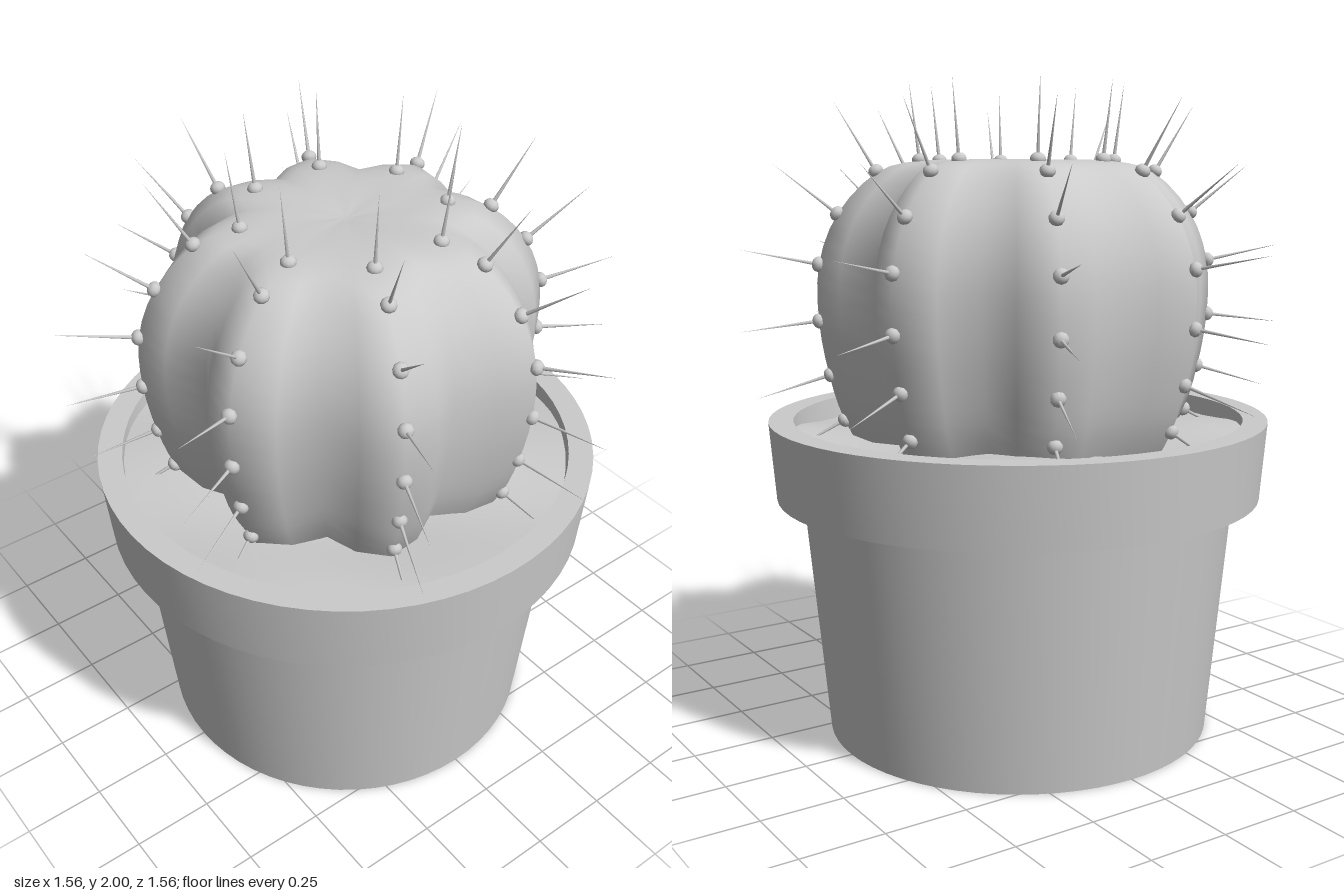
import * as THREE from 'three';
import { mergeVertices, toCreasedNormals } from 'three/addons/utils/BufferGeometryUtils.js';

const RIBS = 8;
const material = new THREE.MeshStandardMaterial({ color: 0xcccccc });
const toPoints = (list) => list.map(([r, y]) => new THREE.Vector2(r, y));

function addMesh(parent, geometry, name) {
  const mesh = new THREE.Mesh(geometry, material);
  mesh.name = name;
  parent.add(mesh);
  return mesh;
}

// Welds a lathe's seam and recomputes smooth normals
function smooth(geometry) {
  geometry.deleteAttribute('uv');
  geometry.deleteAttribute('normal');
  const welded = mergeVertices(geometry, 1e-4);
  welded.computeVertexNormals();
  return welded;
}

// Tapered pot with a thick collar and hollow inside
function potGeometry() {
  const profile = toPoints([
    [0, 0], [0.6, 0], [0.67, 0.745], [0.75, 0.745], [0.77, 0.985],
    [0.695, 0.985], [0.685, 0.86], [0, 0.86],
  ]);
  return toCreasedNormals(new THREE.LatheGeometry(profile, 64), 0.5);
}

// Gently uneven soil surface
function soilGeometry() {
  const profile = [];
  for (let i = 0; i <= 10; i++) profile.push(new THREE.Vector2(0.693 * (1 - i / 10), 0.935));
  const geometry = new THREE.LatheGeometry(profile, 48);
  const p = geometry.attributes.position;
  for (let i = 0; i < p.count; i++) {
    const x = p.getX(i), z = p.getZ(i);
    p.setY(i, 0.94 + 0.012 * Math.sin(9 * x + 2 * z) + 0.012 * Math.cos(8 * z - 5 * x));
  }
  return smooth(geometry);
}

// Ribbed body: the profile follows the ridges, valleys are pulled inwards
function bodyGeometry() {
  const curve = new THREE.SplineCurve(toPoints([
    [0.46, 0.84], [0.54, 0.985], [0.583, 1.125], [0.61, 1.29], [0.606, 1.46],
    [0.547, 1.61], [0.43, 1.73], [0.3, 1.765], [0.13, 1.765], [0, 1.755],
  ]));
  const profile = curve.getPoints(27);
  profile[27].x = 0;
  const geometry = new THREE.LatheGeometry(profile, RIBS * 4);
  const p = geometry.attributes.position;
  for (let i = 0; i < p.count; i++) {
    const angle = Math.atan2(p.getX(i), p.getZ(i));
    const ridge = Math.abs(Math.sin(angle * RIBS / 2));
    const scale = 0.795 + 0.205 * Math.pow(ridge, 1.4);
    p.setX(i, p.getX(i) * scale);
    p.setZ(i, p.getZ(i) * scale);
  }
  return smooth(geometry);
}

// Spine stations along a ridge: radius, height, and outward / upward direction
const STATIONS = [
  [0.54, 0.985, 0.2, -0.11], [0.58, 1.125, 0.22, -0.068], [0.61, 1.29, 0.233, -0.03],
  [0.608, 1.46, 0.228, 0.045], [0.549, 1.61, 0.178, 0.14],
  [0.432, 1.735, 0.118, 0.197], [0.3, 1.768, 0.03, 0.232],
];

export function createModel() {
  const model = new THREE.Group();
  model.name = 'pottedCactus';
  addMesh(model, potGeometry(), 'pot');
  addMesh(model, soilGeometry(), 'soil');
  addMesh(model, bodyGeometry(), 'cactusBody');

  const budGeometry = new THREE.SphereGeometry(0.023, 10, 8);
  budGeometry.scale(1, 0.85, 1);
  const spineGeometry = new THREE.ConeGeometry(0.006, 0.235, 6);
  spineGeometry.translate(0, 0.1175, 0);

  // One row of buds and spines per rib
  const up = new THREE.Vector3(0, 1, 0);
  for (let k = 0; k < RIBS; k++) {
    const row = new THREE.Group();
    row.name = 'spineRow';
    row.rotation.y = (k + 0.5) * 2 * Math.PI / RIBS;
    for (const [r, y, outward, upward] of STATIONS) {
      const areole = new THREE.Group();
      areole.name = 'areole';
      areole.position.set(r, y, 0);
      areole.quaternion.setFromUnitVectors(up, new THREE.Vector3(outward, upward, 0).normalize());
      addMesh(areole, budGeometry, 'bud');
      addMesh(areole, spineGeometry, 'spine');
      row.add(areole);
    }
    model.add(row);
  }
  return model;
}
